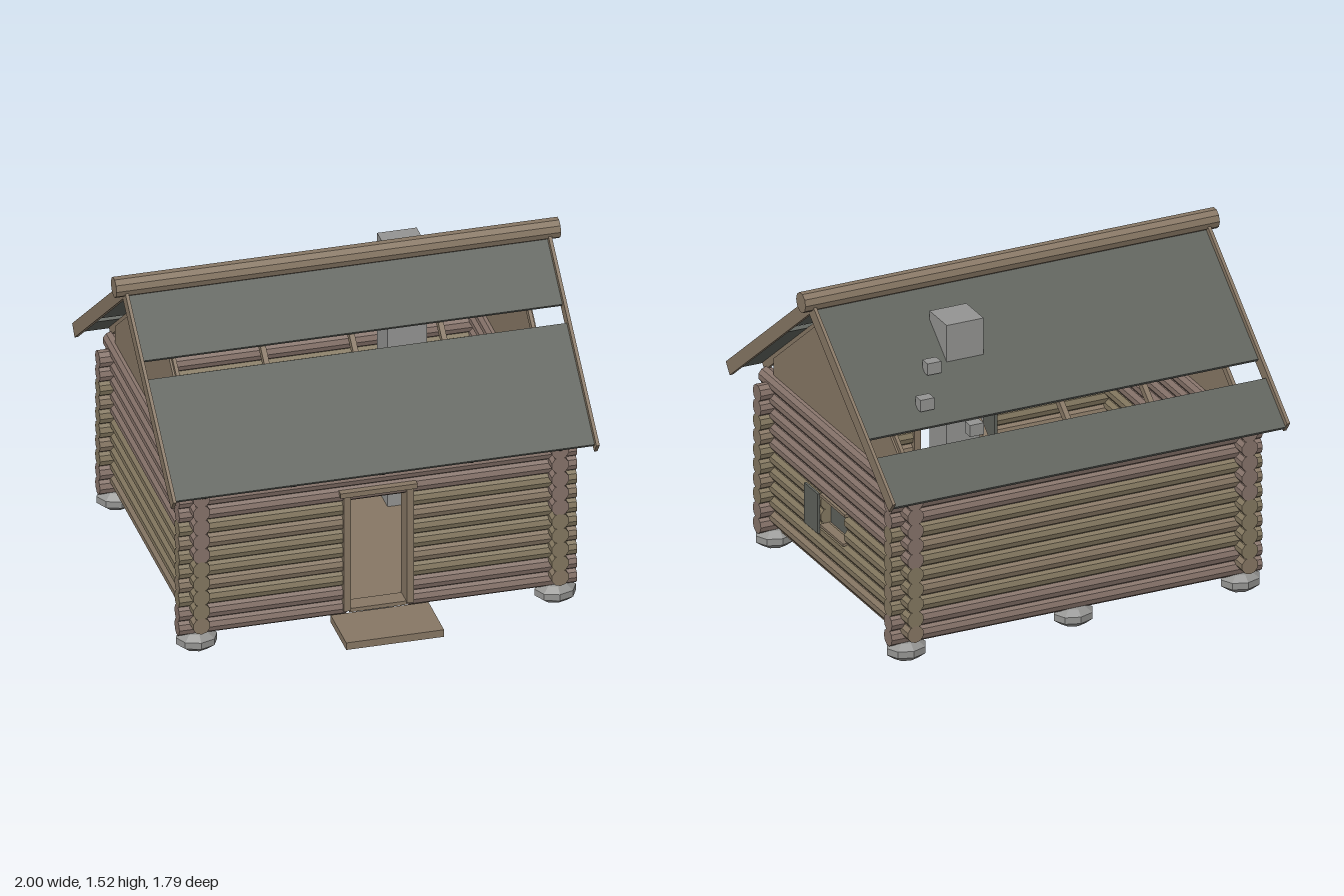
import * as THREE from 'three';

const mat = (name, color) => {
  const m = new THREE.MeshStandardMaterial({ color });
  m.name = name;
  return m;
};

export function createModel() {
  const root = new THREE.Group();
  root.name = 'logCabin';
  const wood = mat('wood', 0x877764);
  const rosyWood = mat('rosyWood', 0x86736a);
  const oliveWood = mat('oliveWood', 0x847860);
  const slate = mat('slate', 0x5f625c);
  const stone = mat('stone', 0x949492);
  for (const m of [wood, rosyWood, oliveWood, slate, stone]) m.flatShading = true;

  const ZC = -0.07;                 // ridge position in z
  const SLOPE = 0.787, A = Math.atan(SLOPE);

  const add = (name, geo, material, parent = root) => {
    const m = new THREE.Mesh(geo, material);
    m.name = name;
    parent.add(m);
    return m;
  };
  // Box given by its min and max corners
  const box = (name, material, x0, x1, y0, y1, z0, z1) => {
    const m = add(name, new THREE.BoxGeometry(x1 - x0, y1 - y0, z1 - z0), material);
    m.position.set((x0 + x1) / 2, (y0 + y1) / 2, (z0 + z1) / 2);
    return m;
  };
  // Round log from a to b along x or z
  const log = (name, material, axis, a, b, y, other, r = 0.04) => {
    const g = new THREE.CylinderGeometry(r, r, b - a, 10);
    if (axis === 'x') g.rotateZ(Math.PI / 2); else g.rotateX(Math.PI / 2);
    const m = add(name, g, material);
    const c = (a + b) / 2;
    if (axis === 'x') m.position.set(c, y, other); else m.position.set(other, y, c);
  };

  // Foundation stones
  for (const x of [-0.807, 0, 0.807]) for (const z of [0.58, -0.715]) {
    const s = add('foundationStone', new THREE.SphereGeometry(1, 8, 5), stone);
    s.scale.set(0.098, 0.05, 0.082);
    s.position.set(x, 0.052, z);
  }

  // Floor and step
  box('floor', wood, -0.8, 0.8, 0.085, 0.112, -0.71, 0.57);
  box('doorStep', wood, -0.22, 0.22, 0.075, 0.11, 0.64, 0.895);

  // Log walls, with gaps for door and window
  const tint = (i) => (i < 2 || i > 7 ? rosyWood : i % 3 === 0 ? wood : oliveWood);
  for (let i = 0; i < 10; i++) {
    const yf = 0.12 + 0.07 * i, ys = 0.155 + 0.07 * i;
    log('backLog', tint(i), 'x', -0.895, 0.895, yf, -0.715);
    if (i < 8) {
      log('frontLog', tint(i), 'x', -0.895, -0.14, yf, 0.58);
      log('frontLog', tint(i), 'x', 0.14, 0.895, yf, 0.58);
    } else log('frontLog', tint(i), 'x', -0.895, 0.895, yf, 0.58);

    const sideTint = i > 4 ? rosyWood : i === 0 ? wood : oliveWood;
    log('leftLogRow', sideTint, 'z', -0.81, 0.665, ys, -0.807);
    if (i === 3 || i === 4) {
      log('rightLogRow', sideTint, 'z', -0.81, -0.18, ys, 0.807);
      log('rightLogRow', sideTint, 'z', 0.05, 0.665, ys, 0.807);
    } else log('rightLogRow', sideTint, 'z', -0.81, 0.665, ys, 0.807);
  }

  // Door frame and open door
  for (const s of [-1, 1]) box('doorPost', wood, s * 0.142 - 0.016, s * 0.142 + 0.016, 0.112, 0.685, 0.53, 0.63);
  box('doorLintel', wood, -0.175, 0.172, 0.682, 0.706, 0.53, 0.64);
  box('doorSill', wood, -0.13, 0.13, 0.1, 0.118, 0.54, 0.62);
  box('doorLeaf', slate, -0.13, -0.116, 0.12, 0.6, 0.3, 0.56);

  // Window with open shutter
  box('windowPane', slate, 0.788, 0.797, 0.33, 0.47, -0.182, 0.052);
  box('windowLintel', wood, 0.78, 0.852, 0.468, 0.482, -0.2, 0.05);
  box('windowSill', wood, 0.78, 0.85, 0.322, 0.334, -0.18, 0.05);
  box('windowShutter', slate, 0.847, 0.859, 0.288, 0.478, 0.053, 0.187);

  // Gable walls
  const gable = new THREE.Shape([[-0.647, 0.8], [0.647, 0.8], [0.647, 0.9], [0, 1.41], [-0.647, 0.9]]
    .map(([a, b]) => new THREE.Vector2(a, b)));
  for (const s of [-1, 1]) {
    const g = new THREE.ExtrudeGeometry(gable, { depth: 0.02, bevelEnabled: false });
    g.translate(0, 0, -0.01).rotateY(Math.PI / 2);
    add('gable', g, wood).position.set(s * 0.807, 0, ZC);
  }

  // Roof slopes: boards lie along the slope between distances d0 and d1 from the ridge
  const slopeBoard = (parent, name, material, x, width, thick, top, d0, d1) => {
    const m = add(name, new THREE.BoxGeometry(width, thick, (d1 - d0) / Math.cos(A)), material, parent);
    const d = (d0 + d1) / 2;
    m.position.set(x, top - SLOPE * d - Math.cos(A) * thick / 2, d - Math.sin(A) * thick / 2);
    m.rotation.x = A;
  };
  const slopes = [
    { name: 'frontRoof', turn: 0, panels: [[0.02, 0.27], [0.34, 0.795]] },
    { name: 'backRoof', turn: Math.PI, panels: [[0.02, 0.54], [0.615, 0.81]] },
  ];
  for (const { name, turn, panels } of slopes) {
    const g = new THREE.Group();
    g.name = name;
    g.position.z = ZC;
    g.rotation.y = turn;
    root.add(g);
    for (const [d0, d1] of panels) slopeBoard(g, 'roofPanel', slate, 0, 1.89, 0.017, 1.457, d0, d1);
    for (const x of [-0.8, -0.4, 0, 0.4, 0.8])
      slopeBoard(g, 'rafter', wood, x, Math.abs(x) > 0.5 ? 0.016 : 0.024, 0.036, 1.436, 0.02, 0.775);
    for (const s of [-1, 1]) slopeBoard(g, 'bargeBoard', wood, s * 0.952, 0.015, 0.063, 1.49, 0, 0.825);
  }
  log('ridgeLog', wood, 'x', -1, 1, 1.473, ZC, 0.047);

  // Chimney and loose stones on the back slope
  box('chimney', stone, 0.272, 0.45, 0.11, 1.383, -0.385, -0.215);
  for (const [x, y, z] of [[0.535, 1.245, -0.412], [0.632, 1.144, -0.541], [0.456, 1.042, -0.67]])
    box('roofStone', stone, x - 0.033, x + 0.033, y - 0.055, y, z - 0.026, z + 0.026);

  return root;
}
